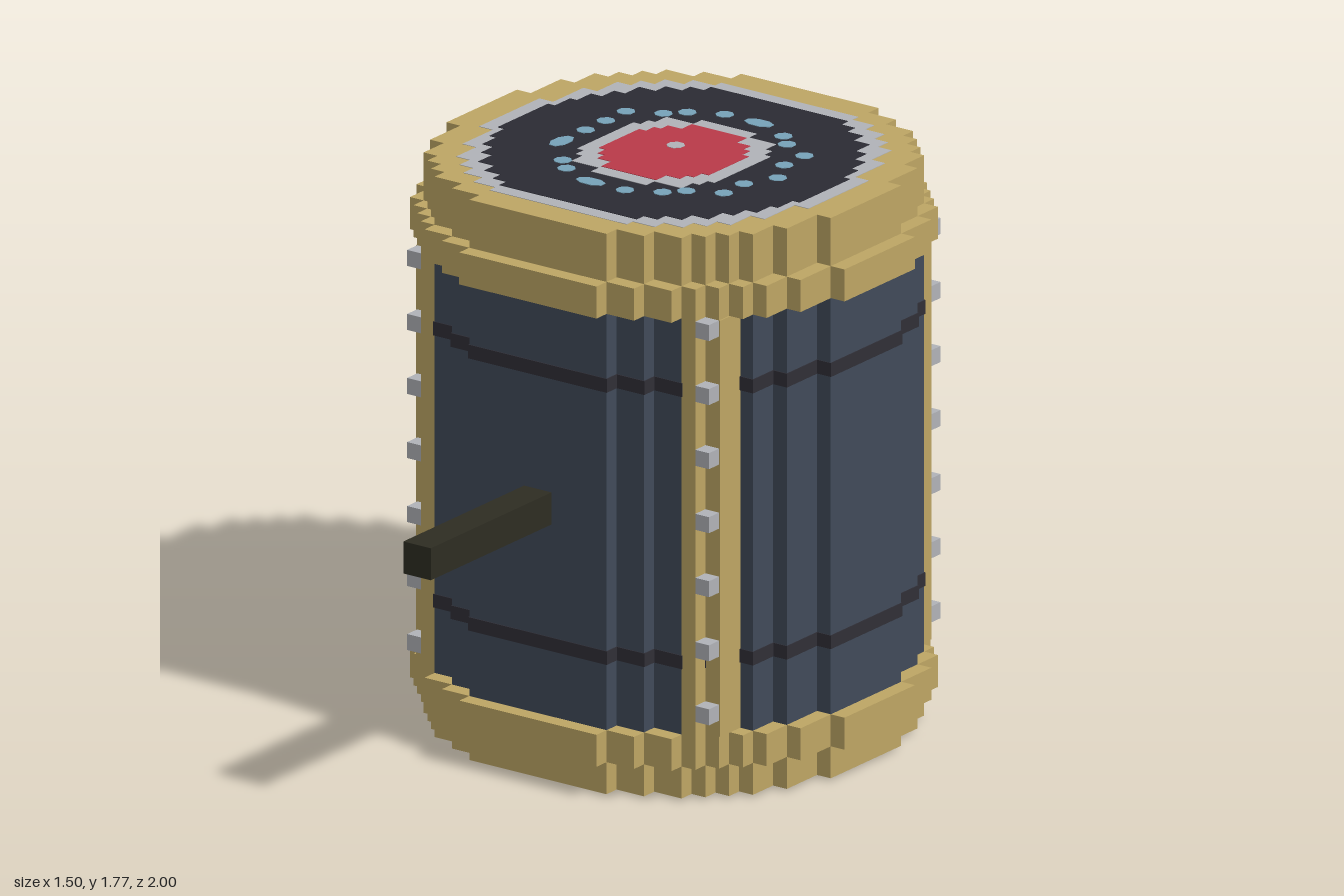
import * as THREE from 'three';

const mat = (name, color) => {
  const m = new THREE.MeshStandardMaterial({ color });
  m.name = name;
  return m;
};

// Stepped outlines: [half width x, half depth z] for each step of one quarter
const DRUM = [[0.25, 0.675], [0.35, 0.625], [0.45, 0.575], [0.5, 0.525], [0.55, 0.475], [0.6, 0.425], [0.65, 0.325], [0.7, 0.175]];
const COLLAR = [[0.25, 0.725], [0.35, 0.675], [0.45, 0.625], [0.5, 0.575], [0.55, 0.525], [0.6, 0.475], [0.65, 0.425], [0.7, 0.325], [0.75, 0.175]];
const OUTER_RING = [[0.25, 0.575], [0.33, 0.545], [0.4, 0.5], [0.45, 0.45], [0.5, 0.4], [0.55, 0.3], [0.6, 0.15]];
const DARK_FACE = [[0.25, 0.525], [0.3, 0.49], [0.36, 0.45], [0.42, 0.4], [0.46, 0.33], [0.5, 0.27], [0.525, 0.2], [0.55, 0.125]];
const INNER_RING = [[0.1, 0.275], [0.2, 0.235], [0.225, 0.18], [0.25, 0.14]];
const RED_FACE = [[0.1, 0.225], [0.15, 0.175], [0.175, 0.14], [0.2, 0.1]];

// Upright prism with a stepped, four-way symmetric outline
function steppedPrism(steps, y0, y1, grow = 0) {
  const quarter = [];
  steps.forEach(([x, z], i) => {
    quarter.push([x + grow, z + grow]);
    quarter.push([x + grow, (i + 1 < steps.length ? steps[i + 1][1] : 0) + grow]);
  });
  quarter.pop();
  const flip = (sx, sz) => quarter.map(([x, z]) => new THREE.Vector2(x * sx, z * sz));
  const pts = [...flip(1, 1), ...flip(1, -1).reverse(), ...flip(-1, -1), ...flip(-1, 1).reverse()];
  const g = new THREE.ExtrudeGeometry(new THREE.Shape(pts), { depth: y1 - y0, bevelEnabled: false });
  g.rotateX(-Math.PI / 2);
  g.translate(0, y0, 0);
  return g;
}

export function createModel() {
  const tan = mat('tan trim', 0xbfa765);
  const slate = mat('slate wall', 0x414b5a);
  const band = mat('dark band', 0x302f37);
  const dark = mat('dark end face', 0x2b2b34);
  const grey = mat('light grey', 0xb2b4b9);
  const red = mat('red centre', 0xba3a49);
  const blue = mat('blue dots', 0x78a4ba);
  const olive = mat('dark olive handle', 0x2e2d22);

  const model = new THREE.Group();
  const drum = new THREE.Group();
  drum.name = 'drum';
  drum.position.z = -0.275;
  model.add(drum);

  const add = (parent, name, geometry, material, x = 0, y = 0, z = 0) => {
    const m = new THREE.Mesh(geometry, material);
    m.name = name;
    m.position.set(x, y, z);
    parent.add(m);
    return m;
  };

  // Wall, end caps and collars
  add(drum, 'wall', steppedPrism(DRUM, 0.2, 1.5), slate);
  add(drum, 'bottomCap', steppedPrism(DRUM, 0, 0.1), tan);
  add(drum, 'bottomCollar', steppedPrism(COLLAR, 0.1, 0.2), tan);
  add(drum, 'topCollar', steppedPrism(COLLAR, 1.5, 1.6), tan);
  add(drum, 'topCap', steppedPrism(DRUM, 1.6, 1.75), tan);

  // Painted bands around the wall
  add(drum, 'lowerBand', steppedPrism(DRUM, 0.405, 0.447, 0.003), band);
  add(drum, 'upperBand', steppedPrism(DRUM, 1.255, 1.298, 0.003), band);

  // Four corner posts, each an L of two bars with a column of rivets
  const rivet = new THREE.BoxGeometry(0.05, 0.05, 0.05);
  for (const sx of [1, -1]) for (const sz of [1, -1]) {
    const post = new THREE.Group();
    post.name = 'cornerPost';
    drum.add(post);
    add(post, 'innerBar', new THREE.BoxGeometry(0.05, 1.3, 0.1), tan, sx * 0.475, 0.85, sz * 0.525);
    add(post, 'outerBar', new THREE.BoxGeometry(0.054, 1.3, 0.1), tan, sx * 0.527, 0.85, sz * 0.475);
    for (let i = 0; i < 7; i++) add(post, 'rivet', rivet, grey, sx * 0.525, 0.275 + i * 0.2, sz * 0.55);
  }

  // Dots on the end faces: x, z, stretch in x, stretch in z
  const dots = [
    [-0.075, -0.355], [0.05, -0.355, 1.8], [-0.175, -0.305], [0.175, -0.305],
    [-0.225, -0.255], [0.225, -0.255], [-0.325, -0.205], [0.325, -0.205],
    [-0.325, -0.105], [0.325, -0.105], [-0.325, -0.005], [0.375, -0.005],
    [-0.325, 0.115, 1, 1.8], [0.325, 0.095], [0.325, 0.195], [-0.225, 0.245],
    [0.225, 0.245], [-0.175, 0.295], [0.175, 0.295], [-0.05, 0.345, 1.8], [0.075, 0.345],
  ];
  const dotShape = new THREE.CylinderGeometry(0.028, 0.028, 0.006, 8);
  dotShape.rotateY(Math.PI / 8);

  // Painted plates on both ends, each layer slightly prouder than the last
  for (const top of [true, false]) {
    const end = new THREE.Group();
    end.name = top ? 'topFace' : 'bottomFace';
    drum.add(end);
    const plate = (name, steps, h, m) =>
      add(end, name, top ? steppedPrism(steps, 1.749, 1.75 + h) : steppedPrism(steps, -h, 0.001), m);
    plate('outerRing', OUTER_RING, 0.0015, grey);
    plate('darkFace', DARK_FACE, 0.003, dark);
    plate('innerRing', INNER_RING, 0.0045, grey);
    plate('redCentre', RED_FACE, 0.006, red);
    const y = top ? 1.752 : -0.002;
    for (const [x, z, sx = 1, sz = 1] of dots) add(end, 'dot', dotShape, blue, x, y, z).scale.set(sx, 1, sz);
    add(end, 'centreDot', dotShape, grey, -0.03, top ? 1.7545 : -0.0045, -0.05);
  }

  // Handle bar at the front
  add(model, 'handle', new THREE.BoxGeometry(0.1, 0.1, 0.62), olive, 0, 0.85, 0.69);
  return model;
}
